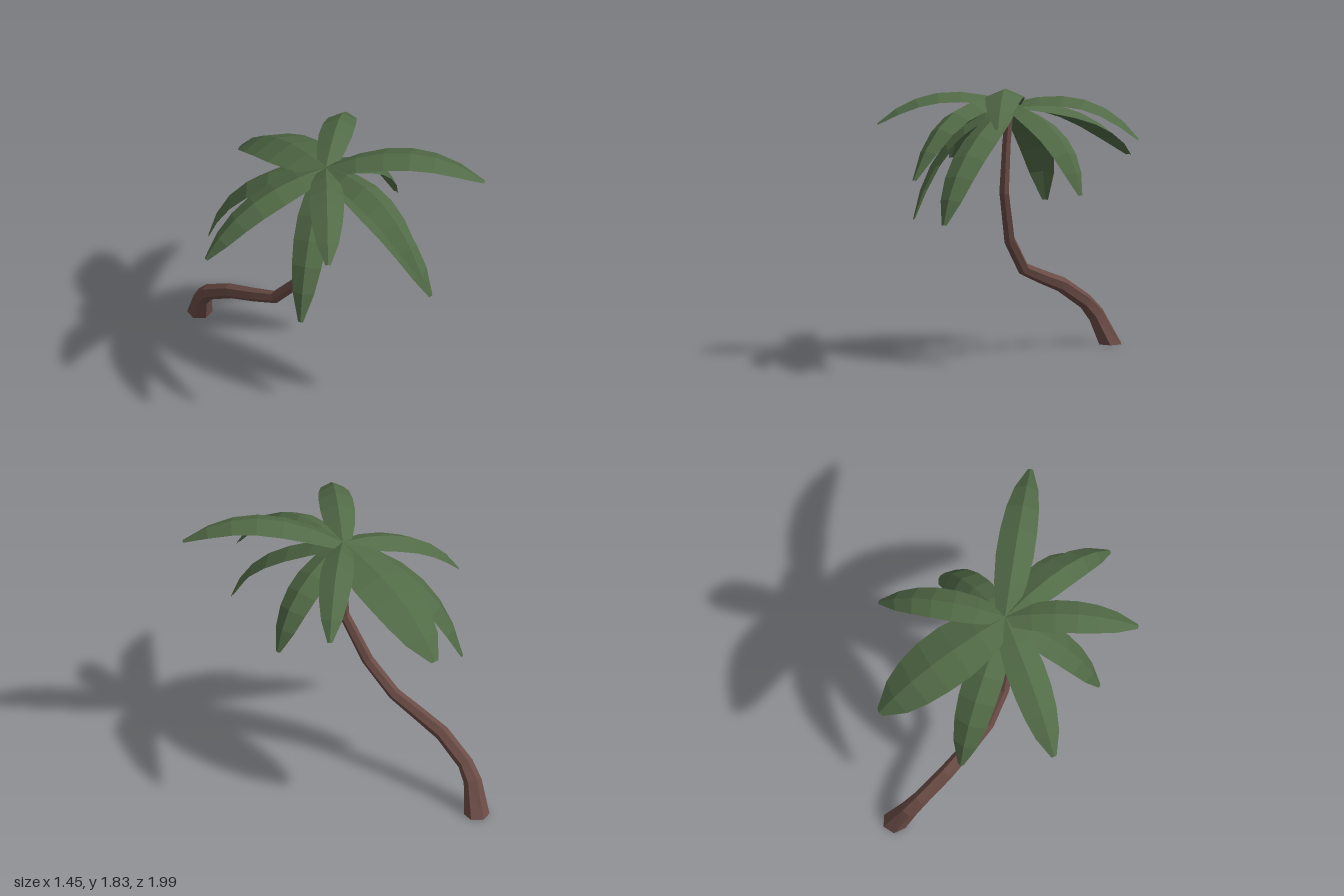
import * as THREE from 'three';

const V = (x, y, z) => new THREE.Vector3(x, y, z);
const bark = new THREE.MeshStandardMaterial({ color: 0x6b4c46, flatShading: true });
const leaf = new THREE.MeshStandardMaterial({ color: 0x526b47, flatShading: true, side: THREE.DoubleSide });

// Skins a list of cross-sections, each an equal-length list of points
function loft(rings, closed) {
  const n = rings[0].length;
  const index = [];
  for (let i = 0; i < rings.length - 1; i++) {
    for (let j = 0; j < (closed ? n : n - 1); j++) {
      const a = i * n + j, b = i * n + (j + 1) % n;
      index.push(a, b, a + n, b, b + n, a + n);
    }
  }
  const geo = new THREE.BufferGeometry().setFromPoints(rings.flat());
  geo.setIndex(index);
  const flat = geo.toNonIndexed();
  flat.computeVertexNormals();
  return flat;
}

// Bent six-sided trunk: centre x, y, z and radius of each joint
function makeTrunk() {
  const joints = [
    [-0.05, 0, -0.92, 0.08], [-0.10, 0.19, -0.842, 0.058], [-0.12, 0.28, -0.765, 0.05],
    [-0.135, 0.41, -0.56, 0.048], [-0.125, 0.485, -0.36, 0.044], [-0.11, 0.557, -0.18, 0.04],
    [-0.06, 0.765, 0.0, 0.038], [0.015, 1.09, 0.13, 0.034], [0.035, 1.4, 0.13, 0.03], [0.05, 1.66, 0.115, 0.028],
  ];
  const pts = joints.map(([x, y, z]) => V(x, y, z));
  const last = pts.length - 1;
  const ring = (i, r) => {
    const dir = V(0, 1, 0);
    if (i > 0 && i < last) {
      const before = pts[i].clone().sub(pts[i - 1]).normalize();
      const after = pts[i + 1].clone().sub(pts[i]).normalize();
      dir.copy(before.add(after).normalize());
    }
    const turn = new THREE.Quaternion().setFromUnitVectors(V(0, 1, 0), dir);
    return Array.from({ length: 6 }, (_, j) => {
      const a = (j / 6) * Math.PI * 2 + 0.25;
      return V(Math.cos(a) * r, 0, -Math.sin(a) * r).applyQuaternion(turn).add(pts[i]);
    });
  };
  const rings = joints.map((p, i) => ring(i, p[3]));
  // Tiny end rings close the trunk
  return new THREE.Mesh(loft([ring(0, 0.001), ...rings, ring(last, 0.001)], true), bark);
}

// Arching leaf folded along its midrib, broad at the crown and blunt at the tip
const crown = V(0.05, 1.665, 0.11);
const outline = [0.5, 0.86, 1, 0.98, 0.87, 0.64, 0.15];

function makeFrond([x, y, z, reach, bendY, half, drop]) {
  const tip = V(x, y, z);
  const bend = crown.clone().lerp(tip, reach).setY(bendY);
  const rib = new THREE.QuadraticBezierCurve3(crown, bend, tip);
  const rings = outline.map((w, i) => {
    const t = i / (outline.length - 1);
    const p = rib.getPoint(t), tangent = rib.getTangent(t);
    const side = tangent.clone().cross(V(0, 1, 0)).normalize();
    const down = tangent.clone().cross(side).normalize();
    const edge = (s) => p.clone().addScaledVector(side, s * w * half).addScaledVector(down, w * drop);
    return [edge(-1), p, edge(1)];
  });
  return new THREE.Mesh(loft(rings, false), leaf);
}

// Tip x, y, z, bend position along the leaf, bend height, half width, fold depth
const fronds = [
  [0.22, 1.25, -0.81, 0.68, 1.64, 0.195, 0.055],
  [0.72, 1.45, -0.36, 0.66, 1.83, 0.105, 0.05],
  [0.67, 1.14, 0.12, 0.85, 1.6, 0.118, 0.05],
  [0.68, 1.65, 0.90, 0.57, 2.0, 0.12, 0.05],
  [0.21, 0.99, 0.90, 0.82, 1.48, 0.12, 0.05],
  [0.04, 1.27, 0.995, 0.66, 1.86, 0.11, 0.055],
  [-0.53, 1.54, 0.72, 0.6, 1.86, 0.11, 0.05],
  [-0.49, 0.90, 0.43, 0.84, 1.5, 0.11, 0.05],
  [-0.73, 1.20, -0.18, 0.7, 1.64, 0.125, 0.05],
  [-0.30, 0.93, -0.59, 0.84, 1.54, 0.125, 0.05],
];

export function createModel() {
  const palm = new THREE.Group();
  palm.name = 'palmTree';
  const trunk = makeTrunk();
  trunk.name = 'trunk';
  palm.add(trunk);

  const leaves = new THREE.Group();
  leaves.name = 'fronds';
  fronds.forEach((f, i) => {
    const frond = makeFrond(f);
    frond.name = `frond${i + 1}`;
    leaves.add(frond);
  });
  palm.add(leaves);
  return palm;
}
